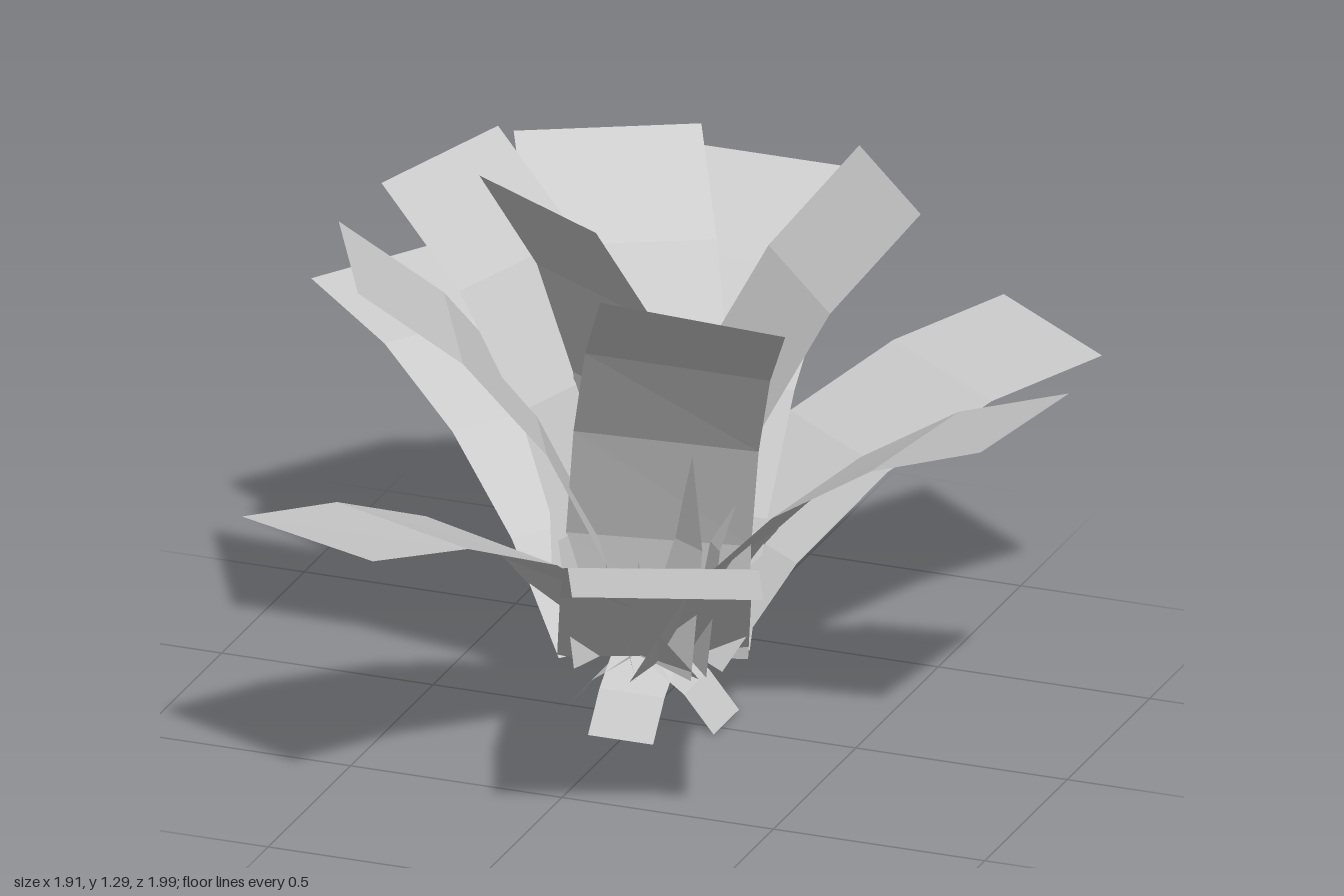
import * as THREE from 'three';

const material = new THREE.MeshStandardMaterial({ color: 0xcccccc, side: THREE.DoubleSide, flatShading: true });
const CROWN = new THREE.Vector3(0, 0.15, -0.045); // point all leaves grow from
const BEND = THREE.MathUtils.degToRad(13);        // bend between leaf segments

// Strip whose rows follow path(i); half(t) is half the row's width vector
function strip(name, path, half) {
  const rows = path.length - 1;
  const geo = new THREE.PlaneGeometry(1, 1, 1, rows);
  const pos = geo.attributes.position;
  path.forEach((p, i) => {
    const h = half(i / rows);
    pos.setXYZ(i * 2, p.x - h.x, p.y - h.y, p.z - h.z);
    pos.setXYZ(i * 2 + 1, p.x + h.x, p.y + h.y, p.z + h.z);
  });
  geo.computeVertexNormals();
  const mesh = new THREE.Mesh(geo, material);
  mesh.name = name;
  return mesh;
}

// Broad leaf arching from the crown to a tip edge between corners a and b
function leaf(a, b) {
  const A = new THREE.Vector3(...a), B = new THREE.Vector3(...b);
  const tip = A.clone().add(B).multiplyScalar(0.5);
  const halfTip = B.sub(A).multiplyScalar(0.5);
  const out = tip.clone().sub(CROWN).setY(0);
  const reach = out.length(), r0 = 0.055;
  out.normalize();
  const dr = reach - r0, dy = tip.y - CROWN.y;
  const chord = Math.atan2(dr, dy);
  const step = Math.hypot(dr, dy) / (2 * Math.cos(1.5 * BEND) + 2 * Math.cos(0.5 * BEND));
  let r = r0, y = CROWN.y;
  const at = () => CROWN.clone().addScaledVector(out, r).setY(y);
  const path = [at()];
  for (let i = 0; i < 4; i++) {
    const angle = chord + (i - 1.5) * BEND;
    r += step * Math.sin(angle);
    y += step * Math.cos(angle);
    path.push(at());
  }
  return strip('leaf', path, t => new THREE.Vector3(halfTip.x, halfTip.y * t, halfTip.z));
}

export function createModel() {
  const model = new THREE.Group();
  model.name = 'plant';

  // Spreading outer leaves, then the upright inner ones: tip corners
  const leaves = new THREE.Group();
  leaves.name = 'leaves';
  [
    [[0.95, 0.86, -0.14], [0.9, 0.87, 0.27]],
    [[0.46, 0.69, -1], [0.79, 0.69, -0.75]],
    [[-0.72, 0.74, -0.78], [-0.96, 0.73, -0.44]],
    [[-0.64, 0.69, 0.8], [-0.26, 0.71, 0.98]],
    [[0.215, 0.7, 0.99], [0.605, 0.69, 0.83]],
    [[-0.21, 1.01, -0.84], [0.21, 1.01, -0.84]],
    [[-0.15, 1.11, -0.73], [-0.52, 1.11, -0.54]],
    [[-0.51, 1.17, -0.42], [-0.63, 1.17, -0.02]],
    [[-0.69, 1.11, 0.085], [-0.5, 1.11, 0.455]],
    [[0.1, 1.205, 0.525], [0.495, 1.14, 0.415]],
    [[0.29, 1.19, -0.56], [0.56, 1.19, -0.24]],
    [[-0.34, 1.29, 0.13], [0.02, 1.29, 0.345]],
  ].forEach(([a, b]) => leaves.add(leaf(a, b)));
  model.add(leaves);

  // Four short flaps bending down and out under the crown
  const flaps = new THREE.Group();
  flaps.name = 'baseFlaps';
  for (let i = 0; i < 4; i++) {
    const flap = strip('baseFlap', [
      new THREE.Vector3(0, 0.15, 0.02),
      new THREE.Vector3(0, 0.085, 0.11),
      new THREE.Vector3(0, 0, 0.18),
    ], () => new THREE.Vector3(0.077, 0, 0));
    flap.rotation.y = i * Math.PI / 2;
    flaps.add(flap);
  }
  flaps.position.z = -0.035;
  model.add(flaps);

  // Thin pointed blades around the crown
  const blades = new THREE.Group();
  blades.name = 'blades';
  let seed = 7;
  const rand = () => (seed = (seed * 16807) % 2147483647) / 2147483647;
  const count = 18;
  for (let i = 0; i < count; i++) {
    const reach = 0.1 + 0.13 * rand(), height = 0.06 + 0.2 * rand();
    const blade = strip('blade', [
      new THREE.Vector3(0, 0, 0.02),
      new THREE.Vector3(0, height * 0.45, reach * 0.6),
      new THREE.Vector3(0, height, reach),
    ], t => new THREE.Vector3(0.028 * (1 - t), 0, 0));
    blade.rotation.y = (i + 0.6 * rand()) / count * Math.PI * 2;
    blades.add(blade);
  }
  blades.position.copy(CROWN);
  model.add(blades);

  return model;
}
